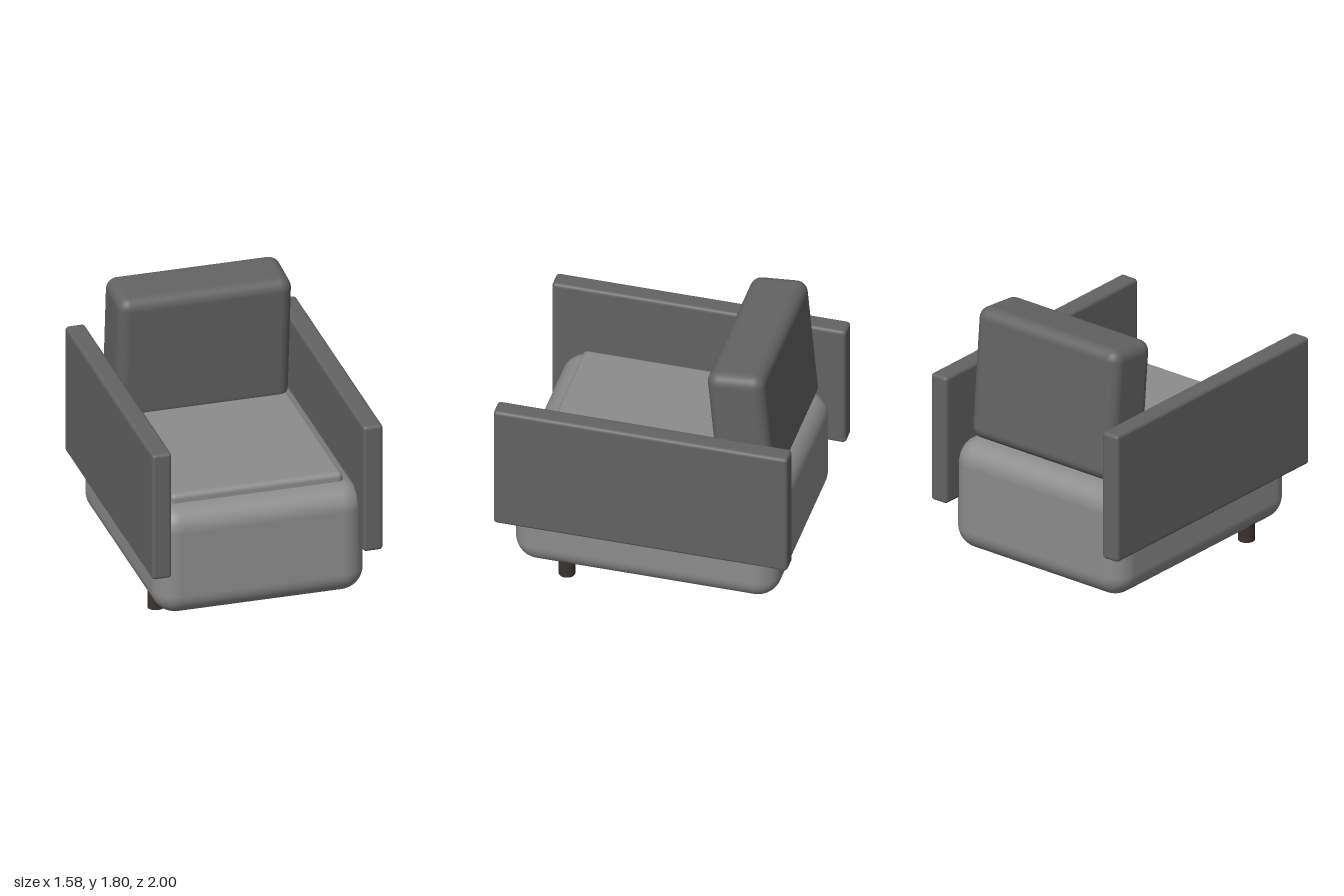
import * as THREE from 'three';
import { RoundedBoxGeometry } from 'three/addons/geometries/RoundedBoxGeometry.js';

const material = (color) => new THREE.MeshStandardMaterial({ color });

// Soft-edged block given by its size, edge radius and centre
function block(name, size, radius, centre, mat, segments = 6) {
  const mesh = new THREE.Mesh(new RoundedBoxGeometry(...size, segments, radius), mat);
  mesh.name = name;
  mesh.position.set(...centre);
  return mesh;
}

export function createModel() {
  const chair = new THREE.Group();
  chair.name = 'armchair';

  const seatFabric = material(0x8c8c8c);
  const frameFabric = material(0x636363);
  const legWood = material(0x3a332e);

  // Deep rounded body
  chair.add(block('base', [1.44, 0.78, 1.8], 0.16, [0, 0.46, 0], seatFabric, 8));

  // Thin seat cushion sunk into the body
  chair.add(block('seatCushion', [1.18, 0.16, 1.4], 0.035, [0, 0.83, 0.06], seatFabric));

  // Back cushion, leaning slightly forward
  const back = block('backCushion', [1.19, 0.92, 0.39], 0.08, [0, 1.327, -0.618], frameFabric);
  back.rotation.x = 0.09;
  chair.add(back);

  // Slab arms and the front legs, mirrored
  for (const [side, s] of [['left', 1], ['right', -1]]) {
    chair.add(block(side + 'Arm', [0.135, 0.915, 2], 0.025, [s * 0.7225, 0.8875, 0], frameFabric, 4));

    const leg = new THREE.Mesh(new THREE.CylinderGeometry(0.055, 0.055, 0.2, 32), legWood);
    leg.name = side + 'FrontLeg';
    leg.position.set(s * 0.63, 0.1, 0.54);
    chair.add(leg);
  }

  return chair;
}
